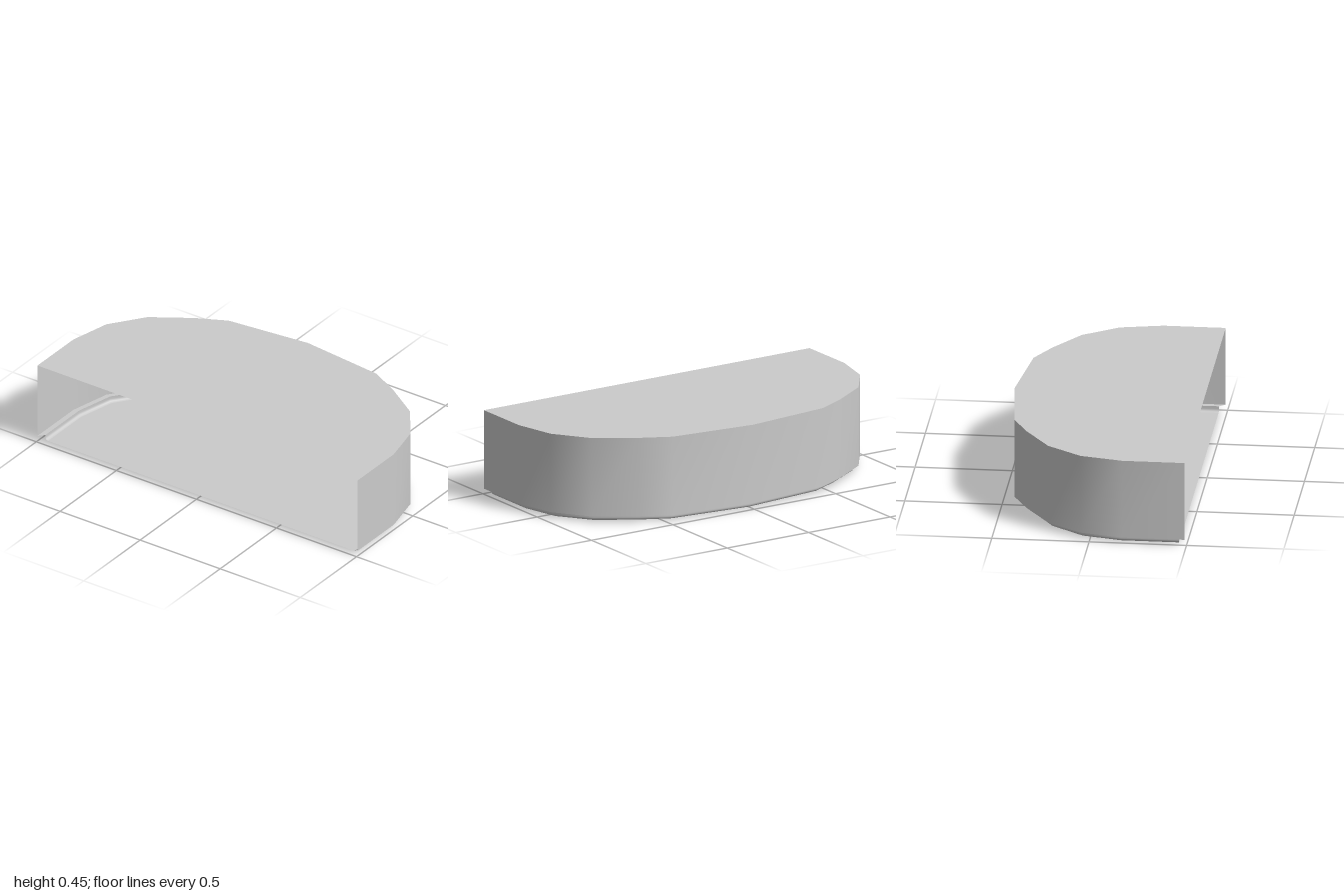
import * as THREE from 'three';

const material = new THREE.MeshStandardMaterial({ color: 0xcccccc, side: THREE.DoubleSide });

// Half of the D-shaped outline as [x, z], mirrored below
const half = [[-0.49, 1], [-0.17, 1], [0.05, 0.95], [0.23, 0.82], [0.36, 0.62], [0.44, 0.46], [0.49, 0]];
const outline = [...half, ...half.slice(0, -1).reverse().map(([x, z]) => [x, -z])];

// Outline of the recessed base, then shrunk by k towards its straight open edge
const inset = outline.map(([x, z]) => [x * 0.935, z * 0.972]);
const shrink = (k) => inset.map(([x, z]) => [-0.458 + (x + 0.458) * k, z * k]);

const ring = (points, y) => points.map(([x, z]) => [x, y, z]);

// Smooth open skin through rings listed from top to bottom
function loft(rings) {
  const n = rings[0].length, index = [];
  for (let i = 0; i < rings.length - 1; i++) {
    for (let j = 0; j < n - 1; j++) {
      const a = i * n + j, b = a + n;
      index.push(a, b, a + 1, b, b + 1, a + 1);
    }
  }
  const geometry = new THREE.BufferGeometry();
  geometry.setAttribute('position', new THREE.Float32BufferAttribute(rings.flat(2), 3));
  geometry.setIndex(index);
  geometry.computeVertexNormals();
  return geometry;
}

// Flat D-shaped plate at height y, facing up (1) or down (-1)
function plate(points, y, facing) {
  const shape = new THREE.Shape(points.map(([x, z]) => new THREE.Vector2(x, z)));
  return new THREE.ShapeGeometry(shape).rotateX(-facing * Math.PI / 2).translate(0, y, 0);
}

export function createModel() {
  const group = new THREE.Group();
  const add = (name, geometry) => {
    const mesh = new THREE.Mesh(geometry, material);
    mesh.name = name;
    group.add(mesh);
  };

  // Upper shell, open along its straight side
  add('top', plate(outline, 0.448, 1));
  add('wall', loft([ring(outline, 0.448), ring(outline, 0.03)]));
  add('ledge', loft([ring(outline, 0.03), ring(inset, 0.03)]));

  // Recessed base with a rounded lower edge
  const r = 0.016, rings = [ring(inset, 0.03)];
  for (let i = 0; i <= 4; i++) {
    const a = (i / 4) * Math.PI / 2;
    rings.push(ring(shrink(1 - r * (1 - Math.cos(a))), r * (1 - Math.sin(a))));
  }
  add('baseRim', loft(rings));
  add('floor', plate(shrink(1 - r), 0, -1));
  return group;
}
